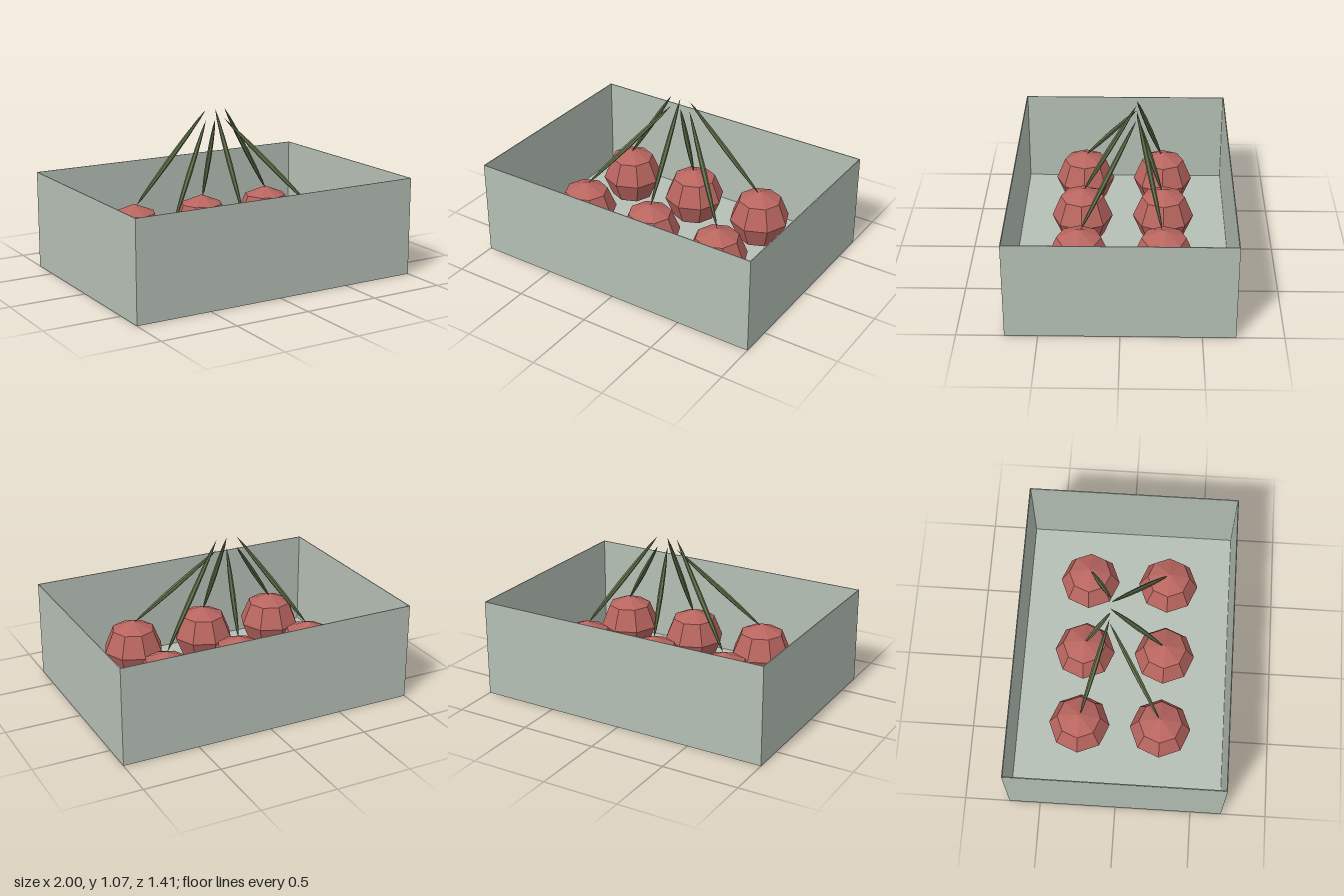
import * as THREE from 'three';

function material(name, color, flatShading = true) {
  const m = new THREE.MeshStandardMaterial({ color, flatShading });
  m.name = name;
  return m;
}

export function createModel() {
  const model = new THREE.Group();
  model.name = 'crateOfRadishes';
  const boxGrey = material('paleGreyGreen', 0xb5bfb5);
  const red = material('dustyRed', 0xb8655f);
  const green = material('leafGreen', 0x61704a);

  const add = (name, geometry, mat, parent = model) => {
    const mesh = new THREE.Mesh(geometry, mat);
    mesh.name = name;
    parent.add(mesh);
    return mesh;
  };

  // Open box: thin floor and four thin walls
  const W = 2, D = 1.41, H = 0.645, T = 0.006;
  const box = new THREE.Group();
  box.name = 'openBox';
  model.add(box);
  add('floor', new THREE.BoxGeometry(W, T, D), boxGrey, box).position.y = T / 2;
  for (const s of [-1, 1]) {
    add(s > 0 ? 'frontWall' : 'backWall', new THREE.BoxGeometry(W, H, T), boxGrey, box)
      .position.set(0, H / 2, s * (D - T) / 2);
    add(s > 0 ? 'leftWall' : 'rightWall', new THREE.BoxGeometry(T, H, D - 2 * T), boxGrey, box)
      .position.set(s * (W - T) / 2, H / 2, 0);
  }

  // Faceted bulb and a spindle of unit length, pointed at both ends
  const bulbGeometry = new THREE.SphereGeometry(0.2, 8, 4);
  const stemProfile = [[0, 0], [0.008, 0.07], [0.014, 0.25], [0.017, 0.48], [0.014, 0.72], [0.008, 0.9], [0, 1]]
    .map(([r, y]) => new THREE.Vector2(r, y));
  const stemGeometry = new THREE.LatheGeometry(stemProfile, 6);

  // Two rows of three bulbs, their stems leaning towards the middle
  const up = new THREE.Vector3(0, 1, 0);
  for (const row of [-1, 1]) {
    for (const col of [-1, 0, 1]) {
      add('bulb', bulbGeometry, red).position.set(col * 0.51, 0.26, row * 0.267);

      const tall = (col === 0) === (row > 0);
      const base = new THREE.Vector3(col * 0.5, 0.45, row * 0.255);
      const tip = new THREE.Vector3(col * 0.07, tall ? 1.07 : 1.0, -0.088);
      const lean = tip.clone().sub(base);
      const stem = add('stem', stemGeometry, green);
      stem.position.copy(base);
      stem.scale.y = lean.length();
      stem.quaternion.setFromUnitVectors(up, lean.normalize());
    }
  }
  return model;
}
